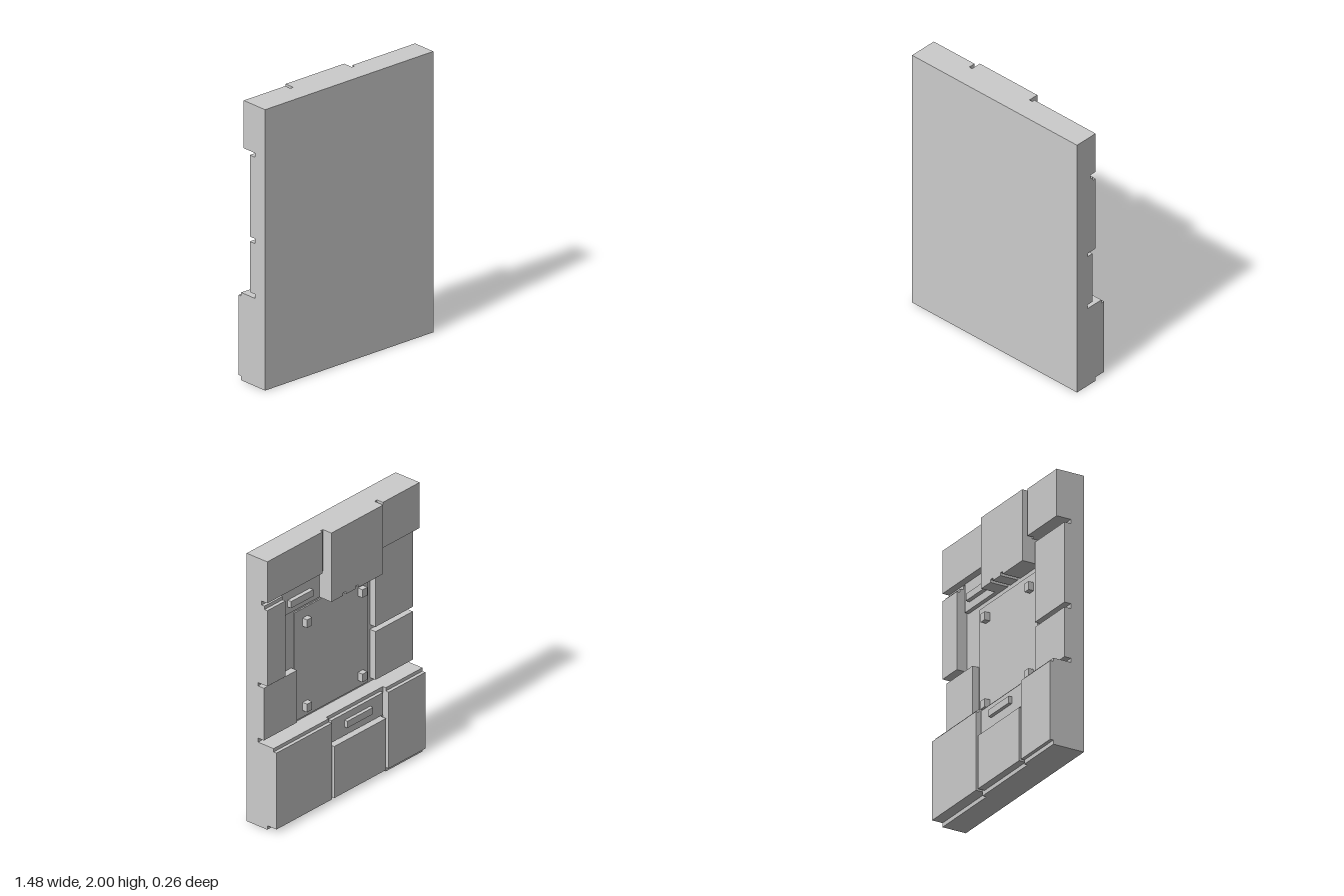
import * as THREE from 'three';

const material = new THREE.MeshStandardMaterial({ color: 0xcccccc, flatShading: true });
const BASE_Z = 0.03; // rear face of the base slab

export function createModel() {
  const model = new THREE.Group();
  model.name = 'panelWithRearBlocks';

  // Box between x0..x1 and y0..y1, reaching back from zFront to zBack
  function block(name, x0, x1, y0, y1, zBack, zFront = BASE_Z) {
    const mesh = new THREE.Mesh(new THREE.BoxGeometry(x1 - x0, y1 - y0, zFront - zBack), material);
    mesh.position.set((x0 + x1) / 2, (y0 + y1) / 2, (zFront + zBack) / 2);
    mesh.name = name;
    model.add(mesh);
    return mesh;
  }

  // Plain front slab
  block('baseSlab', -0.74, 0.74, 0, 2, BASE_Z, 0.13);

  // Top row
  block('topLeftBlock', 0.19, 0.74, 1.69, 2, -0.05);
  block('topRightBlock', -0.74, -0.375, 1.66, 2, -0.08);
  block('topGrooveLeft', 0.165, 0.19, 1.69, 2, -0.03);
  block('topGrooveRight', -0.375, -0.35, 1.66, 2, -0.03);

  // Top centre block with two small notches in its lower edge
  const outline = new THREE.Shape();
  outline.moveTo(-0.35, 1.485);
  for (const x of [-0.09, 0.035]) {
    outline.lineTo(x - 0.015, 1.485);
    outline.lineTo(x - 0.015, 1.505);
    outline.lineTo(x + 0.015, 1.505);
    outline.lineTo(x + 0.015, 1.485);
  }
  outline.lineTo(0.165, 1.485);
  outline.lineTo(0.165, 2);
  outline.lineTo(-0.35, 2);
  outline.closePath();
  const centre = new THREE.Mesh(
    new THREE.ExtrudeGeometry(outline, { depth: BASE_Z + 0.105, bevelEnabled: false }), material);
  centre.position.z = -0.105;
  centre.name = 'topCentreBlock';
  model.add(centre);

  // Upper drawer with its handle
  block('upperDrawer', 0.165, 0.54, 1.485, 1.69, 0);
  block('upperDrawerHandle', 0.26, 0.48, 1.54, 1.59, -0.03, 0);

  // Left column
  block('leftUpperBackStrip', 0.56, 0.74, 1.635, 1.69, 0);
  block('leftUpperStep', 0.56, 0.74, 1.6, 1.66, -0.025);
  block('leftUpperBlock', 0.56, 0.74, 1.07, 1.635, -0.05);
  block('leftLowerBlock', 0.41, 0.74, 0.655, 1.045, -0.02);

  // Right column
  block('rightUpperBlock', -0.74, -0.37, 1.05, 1.63, -0.02);
  block('rightLowerBlock', -0.74, -0.37, 0.655, 1.015, -0.02);

  // Centre panel with four pegs
  block('centrePanel', -0.34, 0.39, 0.64, 1.45, 0.02);
  for (const x of [-0.265, 0.285])
    for (const y of [0.72, 1.35]) block('peg', x - 0.025, x + 0.025, y - 0.03, y + 0.03, -0.02, 0.02);

  // Bottom row: carcass, stepped top, raised face and recessed toe
  block('bottomLeftToe', 0.19, 0.74, 0, 0.03, -0.05);
  block('bottomLeftCarcass', 0.19, 0.74, 0.03, 0.625, -0.105);
  block('bottomLeftFace', 0.19, 0.74, 0.03, 0.6, -0.13, -0.105);
  block('bottomRightCarcass', -0.74, -0.375, 0, 0.625, -0.105);
  block('bottomRightFace', -0.74, -0.375, 0.03, 0.6, -0.13, -0.105);
  block('bottomCentreCarcass', -0.375, 0.19, 0, 0.625, -0.08);
  block('bottomDoor', -0.35, 0.165, 0.03, 0.415, -0.13, -0.08);
  block('bottomDrawer', -0.35, 0.165, 0.435, 0.6, -0.105, -0.08);
  block('bottomDrawerHandle', -0.22, 0.035, 0.5, 0.55, -0.13, -0.105);

  return model;
}
